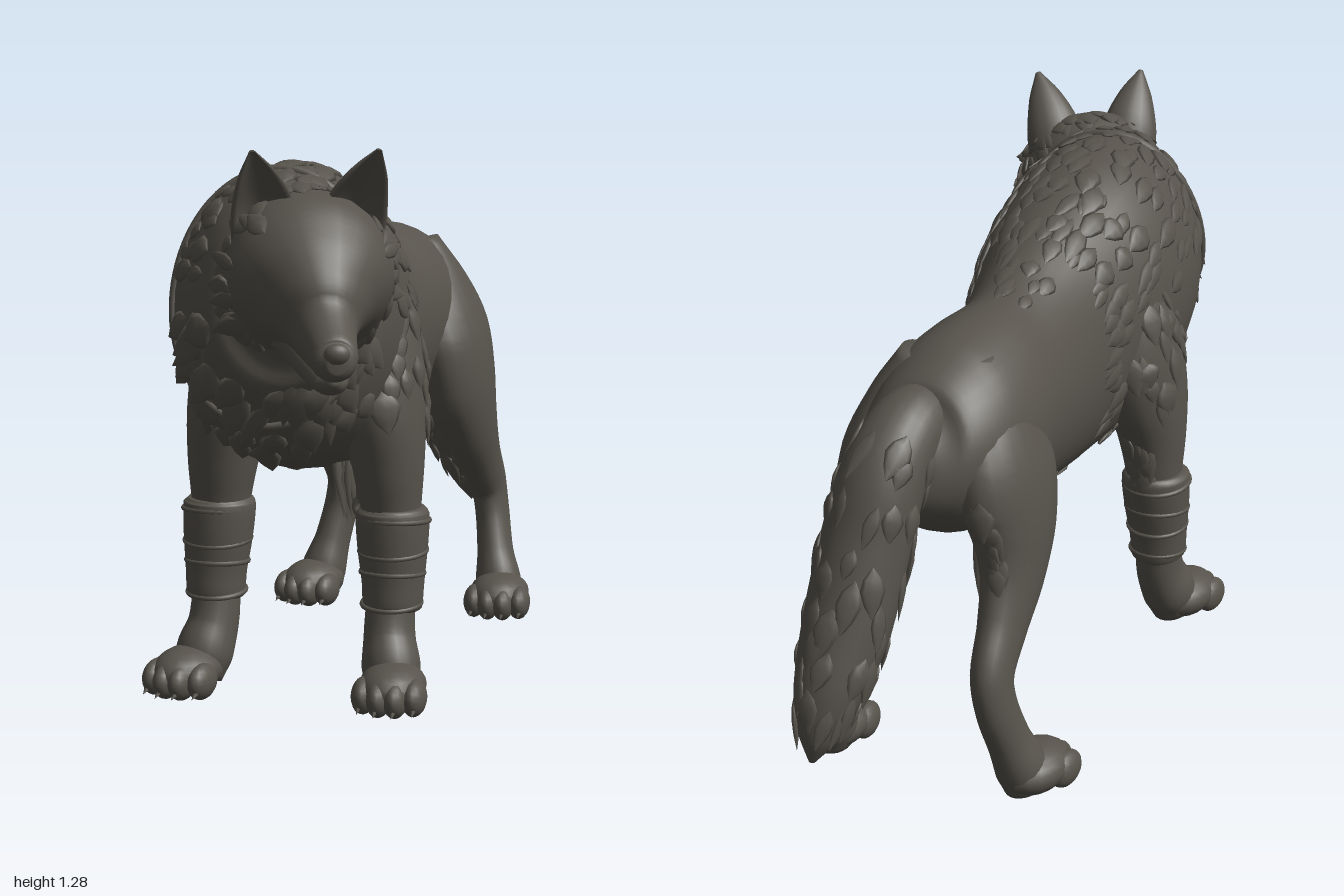
import * as THREE from 'three';
import { mergeGeometries } from 'three/addons/utils/BufferGeometryUtils.js';

const fur = new THREE.MeshStandardMaterial({ color: 0x57534c });
fur.name = 'dark grey fur';
const V = (x, y, z) => new THREE.Vector3(x, y, z);

let seed = 7;
const rnd = () => (seed = (seed * 16807) % 2147483647) / 2147483647;

function add(parent, name, geometry, pos = [0, 0, 0], scale = [1, 1, 1], rot = [0, 0, 0]) {
  const m = new THREE.Mesh(geometry, fur);
  m.name = name;
  m.position.set(...pos);
  m.scale.set(...scale);
  m.rotation.set(...rot);
  parent.add(m);
  return m;
}

// Smooth skin through elliptical sections [x, y, z, radiusX, radiusN]; at(index, angle) samples it
function loft(sections, radial = 24, steps = 5, shape = () => 1) {
  const last = sections.length - 1;
  const path = new THREE.CatmullRomCurve3(sections.map(s => V(s[0], s[1], s[2])));
  const radii = new THREE.CatmullRomCurve3(sections.map(s => V(s[3], s[4], 0)), false, 'catmullrom', 0.5);
  const at = (i, a) => {
    const u = Math.min(1, Math.max(0, i / last));
    const t = path.getTangent(u), r = radii.getPoint(u);
    const side = V(1, 0, 0).addScaledVector(t, -t.x).normalize();
    const n = t.clone().cross(side);
    return path.getPoint(u).addScaledVector(side, r.x * Math.cos(a)).addScaledVector(n, r.y * shape(a) * Math.sin(a));
  };
  const pos = [], idx = [], rows = last * steps;
  for (let i = 0; i <= rows; i++)
    for (let j = 0; j < radial; j++) pos.push(...at(i / steps, j / radial * Math.PI * 2).toArray());
  for (let i = 0; i < rows; i++)
    for (let j = 0; j < radial; j++) {
      const a = i * radial + j, b = i * radial + (j + 1) % radial;
      idx.push(a, b, a + radial, b, b + radial, a + radial);
    }
  const first = rows * radial, c = pos.length / 3;
  pos.push(...path.getPoint(0).toArray(), ...path.getPoint(1).toArray());
  for (let j = 0; j < radial; j++) {
    const k = (j + 1) % radial;
    idx.push(c, k, j, c + 1, first + j, first + k);
  }
  const geo = new THREE.BufferGeometry();
  geo.setAttribute('position', new THREE.Float32BufferAttribute(pos, 3));
  geo.setIndex(idx);
  geo.computeVertexNormals();
  return { geo, at };
}

// One flat leaf-shaped lock of fur, rooted at p, growing along dir, flat against normal
const leaf = [[0, -0.35], [0.75, -0.1], [1, 0.15], [0.65, 0.45], [0, 0.75]];
function lock(p, dir, normal, length, width) {
  const g = new THREE.LatheGeometry(leaf.map(([r, y]) => new THREE.Vector2(r * width, y * length)), 8);
  g.scale(1, 1, 0.3);
  const y = dir.clone().normalize();
  const z = normal.clone().addScaledVector(y, -normal.dot(y)).normalize();
  return g.applyMatrix4(new THREE.Matrix4().makeBasis(y.clone().cross(z), y, z).setPosition(p));
}

// Locks on a lofted skin: i and a ranges, flow +1 or -1 along the skin
function furPatch(skin, count, [i0, i1], [a0, a1], flow, length, width, lift = 0.1) {
  const out = [];
  for (let k = 0; k < count; k++) {
    const i = i0 + (i1 - i0) * rnd(), a = a0 + (a1 - a0) * (k + rnd()) / count;
    const p = skin.at(i, a);
    const along = skin.at(i + 0.06, a).sub(skin.at(i - 0.06, a)).normalize();
    const around = skin.at(i, a + 0.05).sub(skin.at(i, a - 0.05)).normalize();
    const n = around.clone().cross(along).normalize();
    const dir = along.multiplyScalar(flow).addScaledVector(n, lift).addScaledVector(around, (rnd() - 0.5) * 0.4);
    dir.y -= 0.25 * Math.abs(Math.cos(a));
    out.push(lock(p, dir, n, length * (0.7 + 0.6 * rnd()), width * (0.7 + 0.6 * rnd())));
  }
  return mergeGeometries(out);
}

// Paw with four toes and claws, pointing forward
function paw(parent, name, x, z, turn) {
  const g = new THREE.Group();
  g.name = name;
  g.position.set(x, 0, z);
  g.rotation.y = turn;
  const ball = new THREE.SphereGeometry(1, 18, 12);
  add(g, 'pawPad', ball, [0, 0.055, 0.015], [0.076, 0.055, 0.105]);
  [-1.5, -0.5, 0.5, 1.5].forEach(k => {
    const tz = 0.09 - Math.abs(k) * 0.022;
    add(g, 'toe', ball, [k * 0.038, 0.042, tz], [0.028, 0.042, 0.055]);
    add(g, 'claw', new THREE.ConeGeometry(0.009, 0.03, 6), [k * 0.041, 0.02, tz + 0.05], [1, 1, 1], [2, 0, 0]);
  });
  parent.add(g);
}

function buildHead(wolf) {
  const head = new THREE.Group();
  head.name = 'head';
  head.position.set(0.155, 1.0, 0.72);
  head.rotation.y = 0.5;
  const skull = loft([
    [0, 0.02, -0.16, 0.1, 0.12], [0, 0.01, -0.08, 0.165, 0.175], [0, 0.0, 0.0, 0.182, 0.18],
    [0, -0.02, 0.06, 0.155, 0.15], [0, -0.05, 0.115, 0.108, 0.115], [0, -0.085, 0.165, 0.07, 0.083],
    [0, -0.112, 0.23, 0.055, 0.06], [0, -0.13, 0.285, 0.045, 0.045], [0, -0.13, 0.305, 0.02, 0.024]]);
  add(head, 'skull', skull.geo);
  const jaw = loft([[0, -0.11, 0.03, 0.09, 0.065], [0, -0.15, 0.11, 0.062, 0.045],
    [0, -0.172, 0.19, 0.044, 0.033], [0, -0.18, 0.24, 0.034, 0.026], [0, -0.172, 0.268, 0.01, 0.01]], 18);
  add(head, 'lowerJaw', jaw.geo);
  const ball = new THREE.SphereGeometry(1, 16, 12);
  add(head, 'nose', ball, [0, -0.115, 0.298], [0.027, 0.022, 0.018]);
  for (const s of [-1, 1]) {
    add(head, 'eye', ball, [s * 0.074, -0.008, 0.122], [0.018, 0.01, 0.014], [0, s * 0.6, s * 0.3]);
    add(head, 'brow', ball, [s * 0.062, 0.022, 0.11], [0.045, 0.016, 0.03], [0.4, s * 0.5, s * 0.4]);
    const ear = loft([[s * 0.09, 0.09, -0.015, 0.072, 0.056], [s * 0.1, 0.155, 0.008, 0.066, 0.048],
      [s * 0.117, 0.22, 0.045, 0.041, 0.03], [s * 0.132, 0.272, 0.075, 0.006, 0.006]],
      20, 4, a => Math.sin(a) < 0 ? 1 + 1.4 * Math.sin(a) : 1);
    add(head, 'ear', ear.geo);
    const c = s > 0 ? 0 : Math.PI;
    add(head, 'cheekFur', furPatch(skull, 30, [0.9, 2.5], [c - 1.0, c + 0.8], -1, 0.085, 0.024, 0.22));
  }
  add(head, 'crownFur', furPatch(skull, 12, [0.6, 1.6], [1.0, 2.1], -1, 0.07, 0.024));
  add(head, 'throatFur', furPatch(skull, 16, [0.8, 2], [3.9, 5.5], -1, 0.09, 0.026, 0.2));
  wolf.add(head);
}

export function createModel() {
  const wolf = new THREE.Group();
  wolf.name = 'wolf';

  // Trunk, from rump to neck
  const body = loft([
    [0, 0.83, -0.665, 0.05, 0.06], [0, 0.81, -0.62, 0.13, 0.145], [-0.01, 0.79, -0.5, 0.182, 0.21],
    [-0.015, 0.79, -0.35, 0.188, 0.235], [-0.02, 0.785, -0.18, 0.165, 0.25], [-0.01, 0.795, 0, 0.18, 0.29],
    [0, 0.83, 0.2, 0.23, 0.325], [0, 0.88, 0.38, 0.246, 0.335], [0.02, 0.925, 0.52, 0.23, 0.305],
    [0.06, 0.955, 0.62, 0.195, 0.25], [0.1, 0.97, 0.7, 0.15, 0.19], [0.12, 0.97, 0.76, 0.07, 0.09]], 36, 6);
  add(wolf, 'body', body.geo);

  // Mane rows, thickest over the neck and thinning along the spine
  for (let i = 5.6; i < 9.6; i += 0.5)
    add(wolf, 'mane', furPatch(body, 16, [i - 0.2, i + 0.2], [0.1, Math.PI - 0.1], -1, 0.09, 0.026));
  add(wolf, 'spineFur', furPatch(body, 16, [3.8, 5.8], [1.0, 2.1], -1, 0.08, 0.02, 0.06));
  add(wolf, 'chestFur', furPatch(body, 36, [7.3, 9.6], [3.4, 6.0], -1, 0.1, 0.032, 0.16));
  add(wolf, 'bellyFur', furPatch(body, 16, [4.2, 6.2], [3.9, 5.5], -1, 0.08, 0.024, 0.06));
  for (const a of [-0.7, 2.4])
    add(wolf, 'flankFur', furPatch(body, 14, [5.2, 5.4], [a, a + 1.4], -1, 0.08, 0.024, 0.06));

  // Band wrapped around the neck
  const wrap = [];
  for (let k = 0; k < 24; k++) {
    const a = k / 24 * Math.PI * 2;
    wrap.push(body.at(8.5 + 0.4 * Math.cos(a), a));
  }
  add(wolf, 'neckWrap', new THREE.TubeGeometry(new THREE.CatmullRomCurve3(wrap, true), 72, 0.011, 8, true));

  for (const s of [-1, 1]) {
    // Front leg with a wrapped guard on the forearm
    const foreLeg = loft([
      [s * 0.1, 1.0, 0.24, 0.05, 0.05], [s * 0.14, 0.9, 0.24, 0.087, 0.1], [s * 0.172, 0.77, 0.25, 0.093, 0.142],
      [s * 0.187, 0.64, 0.275, 0.09, 0.135], [s * 0.198, 0.53, 0.285, 0.08, 0.1],
      [s * 0.205, 0.42, 0.285, 0.066, 0.076], [s * 0.21, 0.26, 0.3, 0.056, 0.062],
      [s * 0.212, 0.15, 0.32, 0.058, 0.066], [s * 0.225, 0.08, 0.35, 0.066, 0.072],
      [s * 0.23, 0.025, 0.365, 0.05, 0.055]]);
    add(wolf, 'frontLeg', foreLeg.geo);
    const guard = loft([[s * 0.208, 0.44, 0.285, 0.07, 0.078], [s * 0.208, 0.425, 0.285, 0.083, 0.089],
      [s * 0.21, 0.35, 0.291, 0.08, 0.084], [s * 0.213, 0.27, 0.297, 0.071, 0.075],
      [s * 0.213, 0.21, 0.301, 0.066, 0.072], [s * 0.213, 0.2, 0.302, 0.05, 0.055]], 24, 4);
    add(wolf, 'legGuard', guard.geo);
    [0.41, 0.34, 0.29, 0.22].forEach((y, k) => {
      add(wolf, 'guardStrap', new THREE.TorusGeometry(0.08 - k * 0.0045, 0.006, 8, 32),
        [s * 0.211, y, 0.285 + k * 0.005], [1, 1.07, 1], [Math.PI / 2 + 0.08 * (k % 2 ? 1 : -1), 0, 0]);
    });
    const out = s > 0 ? 0 : Math.PI;
    add(wolf, 'shoulderFur', furPatch(foreLeg, 24, [0.9, 3.0], [out - 1.2, out + 1.2], 1, 0.08, 0.03, 0.06));
    add(wolf, 'elbowFur', furPatch(foreLeg, 9, [3.6, 4.9], [4.3, 5.1], 1, 0.08, 0.02, 0.2));
    paw(wolf, 'frontPaw', s * 0.243, 0.39, s * 0.1);

    // Hind leg: thigh, hock and foot
    const hindLeg = loft([
      [s * 0.06, 0.97, -0.44, 0.05, 0.05], [s * 0.09, 0.87, -0.445, 0.083, 0.115], [s * 0.135, 0.74, -0.455, 0.095, 0.17],
      [s * 0.162, 0.62, -0.46, 0.086, 0.155], [s * 0.18, 0.51, -0.5, 0.067, 0.112],
      [s * 0.188, 0.41, -0.57, 0.052, 0.08], [s * 0.195, 0.32, -0.64, 0.045, 0.066],
      [s * 0.205, 0.25, -0.643, 0.043, 0.06], [s * 0.222, 0.15, -0.612, 0.046, 0.058],
      [s * 0.238, 0.075, -0.585, 0.058, 0.064], [s * 0.245, 0.025, -0.575, 0.048, 0.054]]);
    add(wolf, 'hindLeg', hindLeg.geo);
    add(wolf, 'thighFur', furPatch(hindLeg, 14, [2.4, 4.2], [4.4, 5.0], 1, 0.08, 0.02, 0.08));
    paw(wolf, 'hindPaw', s * 0.25, -0.555, s * 0.1);
  }

  // Bushy hanging tail
  const tail = loft([
    [0, 0.87, -0.52, 0.07, 0.07], [0.012, 0.865, -0.61, 0.085, 0.085], [0.028, 0.79, -0.695, 0.095, 0.095],
    [0.045, 0.65, -0.757, 0.1, 0.095], [0.06, 0.48, -0.825, 0.097, 0.097], [0.07, 0.35, -0.9, 0.076, 0.076],
    [0.075, 0.26, -0.945, 0.042, 0.042], [0.08, 0.21, -0.965, 0.006, 0.006]]);
  add(wolf, 'tail', tail.geo);
  for (let i = 1.8; i < 6; i += 0.7)
    add(wolf, 'tailFur', furPatch(tail, 11, [i - 0.3, i + 0.3], [0, Math.PI * 2], 1, 0.09, 0.024, 0.06));

  // Hanging fur tassel under the belly, with a cord and ring
  const tassel = [];
  for (let k = 0; k < 18; k++) {
    const z = -0.17 - 0.13 * rnd(), x = -0.08 + 0.09 * rnd();
    tassel.push(lock(V(x, 0.5 - 0.08 * rnd(), z), V((rnd() - 0.5) * 0.2, -1, -0.1), V(1, 0, 0.3), 0.2, 0.036));
  }
  add(wolf, 'bellyTassel', mergeGeometries(tassel));
  add(wolf, 'cord', new THREE.CylinderGeometry(0.018, 0.022, 0.19, 10), [0, 0.45, -0.18]);
  add(wolf, 'ring', new THREE.TorusGeometry(0.024, 0.01, 8, 20), [0, 0.335, -0.18]);

  buildHead(wolf);
  return wolf;
}
